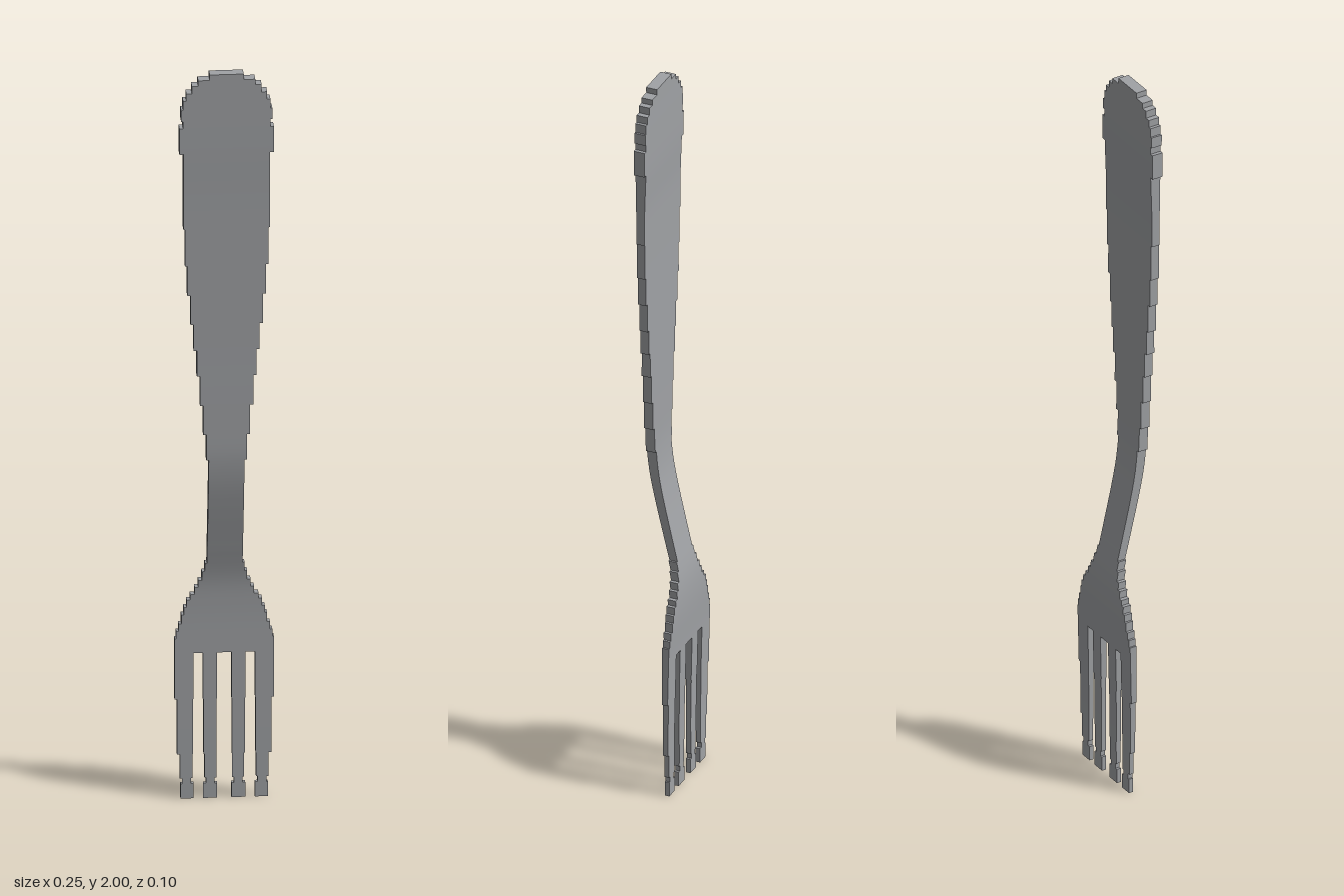
import * as THREE from 'three';
import { mergeGeometries } from 'three/addons/utils/BufferGeometryUtils.js';

// Side profile stations: [y, centre z, thickness]
const PROFILE = [
  [0, -0.038, 0.012], [0.2, -0.038, 0.014], [0.4, -0.04, 0.018], [0.52, -0.041, 0.022],
  [0.6, -0.035, 0.022], [0.7, -0.013, 0.023], [0.8, 0.01, 0.024], [0.88, 0.026, 0.025],
  [0.95, 0.034, 0.026], [1.02, 0.036, 0.025], [1.3, 0.036, 0.023], [1.66, 0.036, 0.023],
  [1.8, 0.035, 0.029], [2, 0.035, 0.03],
];

// Smooth (Hermite) interpolation of one profile column
function sample(y, col) {
  const last = PROFILE.length - 1;
  let i = 0;
  while (i < last - 1 && y > PROFILE[i + 1][0]) i++;
  const slope = (k) => {
    const a = PROFILE[Math.max(k - 1, 0)], b = PROFILE[Math.min(k + 1, last)];
    return (b[col] - a[col]) / (b[0] - a[0]);
  };
  const p = PROFILE[i], q = PROFILE[i + 1], h = q[0] - p[0];
  const t = Math.min(Math.max((y - p[0]) / h, 0), 1), t2 = t * t, t3 = t2 * t;
  return p[col] * (2 * t3 - 3 * t2 + 1) + q[col] * (3 * t2 - 2 * t3)
    + slope(i) * h * (t3 - 2 * t2 + t) + slope(i + 1) * h * (t3 - t2);
}

const surface = (y, side) => sample(y, 1) + side * sample(y, 2) / 2;

// A slab between two x and two y limits, bent to the side profile
function slab(x0, x1, y0, y1) {
  const rows = Math.max(1, Math.ceil((y1 - y0) / 0.03));
  const g = new THREE.BoxGeometry(x1 - x0, y1 - y0, 2, 1, rows, 1);
  g.translate((x0 + x1) / 2, (y0 + y1) / 2, 0);
  const p = g.attributes.position, n = g.attributes.normal, v = new THREE.Vector3();
  for (let i = 0; i < p.count; i++) {
    const y = p.getY(i), side = Math.sign(p.getZ(i));
    p.setZ(i, surface(y, side));
    if (Math.abs(n.getZ(i)) > 0.5) {
      const d = (surface(y + 0.005, side) - surface(y - 0.005, side)) / 0.01;
      v.set(0, -d, 1).normalize().multiplyScalar(side);
      n.setXYZ(i, v.x, v.y, v.z);
    }
  }
  return g;
}

// Stepped outlines: [top y, half width], each step reaching down to the next
const HANDLE = [
  [2, 0.043], [1.985, 0.072], [1.97, 0.088], [1.95, 0.102], [1.93, 0.11], [1.905, 0.115],
  [1.875, 0.11], [1.855, 0.119], [1.785, 0.109], [1.58, 0.105], [1.48, 0.099], [1.4, 0.091],
  [1.32, 0.083], [1.25, 0.075], [1.18, 0.067], [1.1, 0.059], [1.02, 0.051], [0.95, 0.045],
];
const NECK = [[0.95, 0.045], [0.645, 0.05], [0.62, 0.057], [0.595, 0.066], [0.575, 0.075]];
const HEAD = [
  [0.555, 0.086], [0.54, 0.095], [0.52, 0.102], [0.5, 0.108], [0.475, 0.115],
  [0.455, 0.121], [0.435, 0.125],
];
// Tine steps: [top y, inner x, outer x]
const OUTER_TINE = [
  [0.395, 0.078, 0.125], [0.27, 0.079, 0.119], [0.12, 0.08, 0.112],
  [0.055, 0.084, 0.106], [0.04, 0.077, 0.11],
];
const INNER_TINE = [
  [0.395, 0.018, 0.054], [0.27, 0.019, 0.052], [0.12, 0.02, 0.05],
  [0.055, 0.024, 0.046], [0.04, 0.018, 0.053],
];

export function createModel() {
  const group = new THREE.Group();
  group.name = 'fork';
  const steel = new THREE.MeshStandardMaterial({ color: 0xa0a2a5 });
  steel.name = 'steel';

  const add = (name, steps, bottom) => {
    const slabs = steps.map(([top, a, b], i) => {
      const low = i + 1 < steps.length ? steps[i + 1][0] : bottom;
      return slab(a, b, low, top);
    });
    const mesh = new THREE.Mesh(mergeGeometries(slabs), steel);
    mesh.name = name;
    group.add(mesh);
  };
  const centred = (steps) => steps.map(([y, w]) => [y, -w, w]);
  const mirrored = (steps) => steps.map(([y, a, b]) => [y, -b, -a]);

  add('handle', centred(HANDLE), 0.95);
  add('neck', centred(NECK), 0.555);
  add('head', centred(HEAD), 0.395);

  // Four tines, mirrored in pairs
  add('leftOuterTine', OUTER_TINE, 0);
  add('rightOuterTine', mirrored(OUTER_TINE), 0);
  add('leftInnerTine', INNER_TINE, 0);
  add('rightInnerTine', mirrored(INNER_TINE), 0);
  return group;
}
